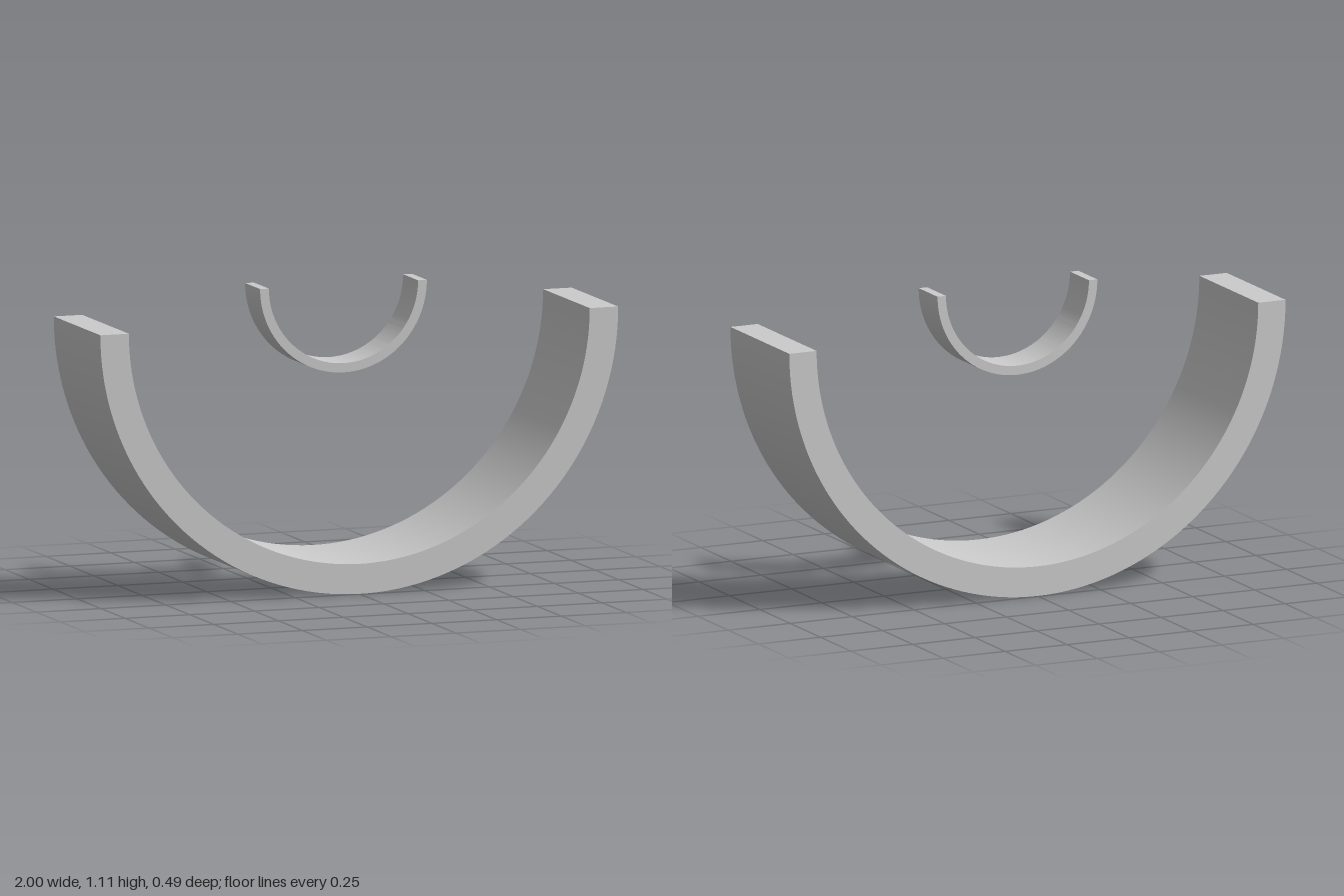
import * as THREE from 'three';
import { toCreasedNormals } from 'three/addons/utils/BufferGeometryUtils.js';

const material = new THREE.MeshStandardMaterial({ color: 0xcccccc });

// Lower half of a flat-ended ring, centred on z = 0, open side up
function halfRing(name, outer, inner, depth, centreY) {
  const shape = new THREE.Shape();
  shape.absarc(0, 0, outer, Math.PI, 2 * Math.PI, false);
  shape.absarc(0, 0, inner, 2 * Math.PI, Math.PI, true);
  shape.closePath();
  const geometry = new THREE.ExtrudeGeometry(shape, {
    depth, bevelEnabled: false, curveSegments: 40,
  });
  geometry.translate(0, 0, -depth / 2);
  const mesh = new THREE.Mesh(toCreasedNormals(geometry, Math.PI / 6), material);
  mesh.name = name;
  mesh.position.y = centreY;
  return mesh;
}

export function createModel() {
  const model = new THREE.Group();
  model.name = 'halfRings';
  model.add(
    halfRing('largeHalfRing', 1, 0.89, 0.486, 1),
    halfRing('smallHalfRing', 0.322, 0.288, 0.156, 1.11),
  );
  return model;
}
